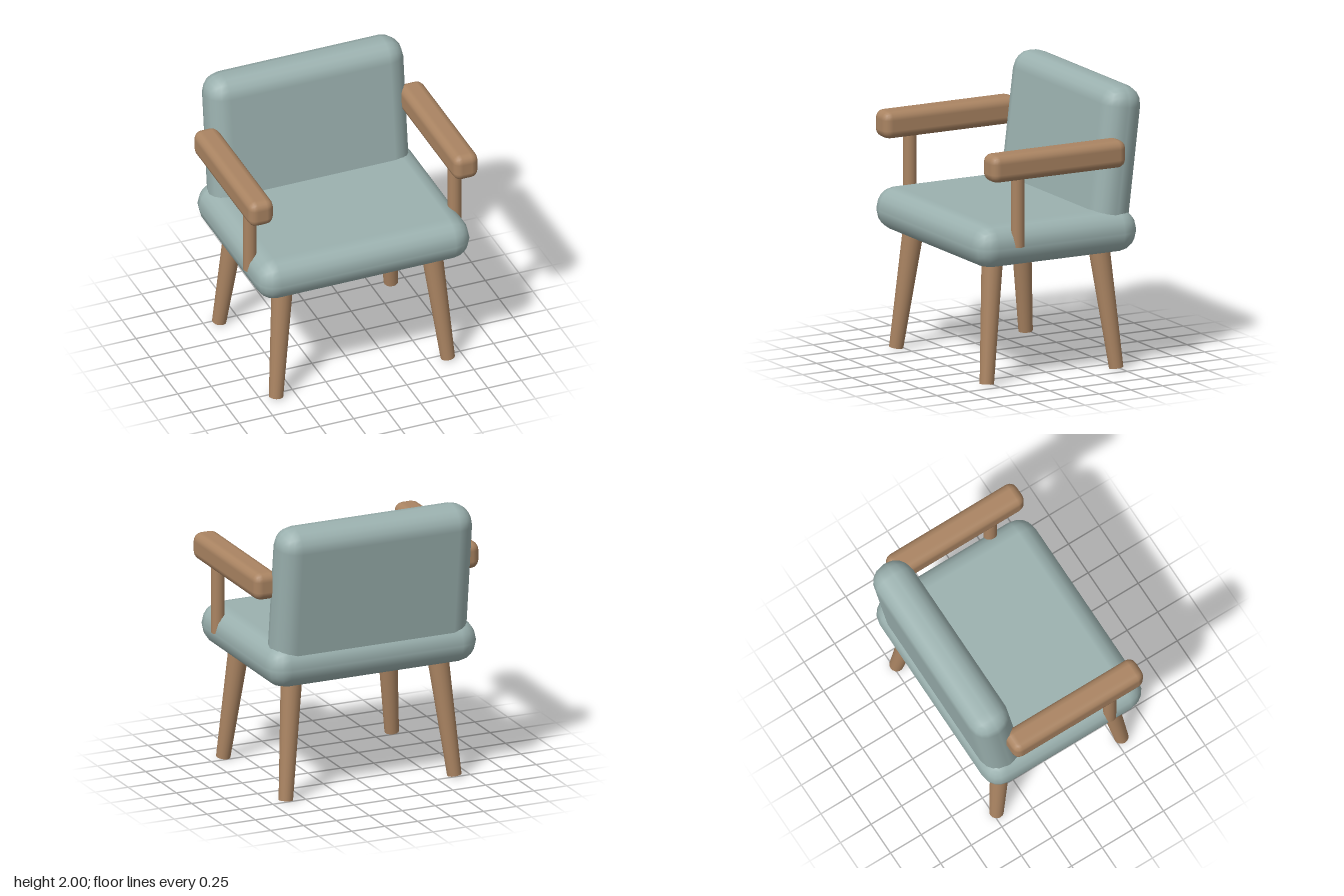
import * as THREE from 'three';
import { RoundedBoxGeometry } from 'three/addons/geometries/RoundedBoxGeometry.js';

const fabric = new THREE.MeshStandardMaterial({ name: 'sage fabric', color: 0x9bb1af });
const wood = new THREE.MeshStandardMaterial({ name: 'wood', color: 0xaa8462 });

// Rounded block with its centre at (x, y, z)
function block(name, size, radius, position, material) {
  const mesh = new THREE.Mesh(new RoundedBoxGeometry(...size, 2, radius), material);
  mesh.name = name;
  mesh.position.set(...position);
  return mesh;
}

// Tapered round rod running from a bottom point to a top point
function rod(name, bottom, top, bottomRadius, topRadius) {
  const a = new THREE.Vector3(...bottom);
  const b = new THREE.Vector3(...top);
  const axis = b.clone().sub(a);
  const mesh = new THREE.Mesh(new THREE.CylinderGeometry(topRadius, bottomRadius, axis.length(), 16), wood);
  mesh.name = name;
  mesh.position.copy(a).add(b).multiplyScalar(0.5);
  mesh.quaternion.setFromUnitVectors(new THREE.Vector3(0, 1, 0), axis.normalize());
  return mesh;
}

export function createModel() {
  const chair = new THREE.Group();
  chair.name = 'armchair';

  // Cushions: flat seat and a back leaning rearwards, sunk into the seat
  chair.add(block('seat', [1.59, 0.305, 1.28], 0.145, [0, 0.987, 0.035], fabric));
  const back = block('backrest', [1.47, 1.14, 0.3], 0.14, [0, 1.432, -0.468], fabric);
  back.rotation.x = -0.12;
  chair.add(back);

  for (const [side, s] of [['left', 1], ['right', -1]]) {
    // Armrest with a single front post
    chair.add(block(`${side}Armrest`, [0.185, 0.195, 1.06], 0.06, [s * 0.763, 1.562, 0.08], wood));
    chair.add(rod(`${side}ArmPost`, [s * 0.763, 0.985, 0.37], [s * 0.763, 1.52, 0.37], 0.047, 0.047));

    // Splayed tapered legs
    for (const [end, f] of [['Front', 1], ['Back', -1]]) {
      chair.add(rod(`${side}${end}Leg`,
        [s * 0.64, 0.008, 0.035 + f * 0.51],
        [s * 0.557, 0.84, 0.035 + f * 0.422], 0.05, 0.074));
    }
  }
  return chair;
}
